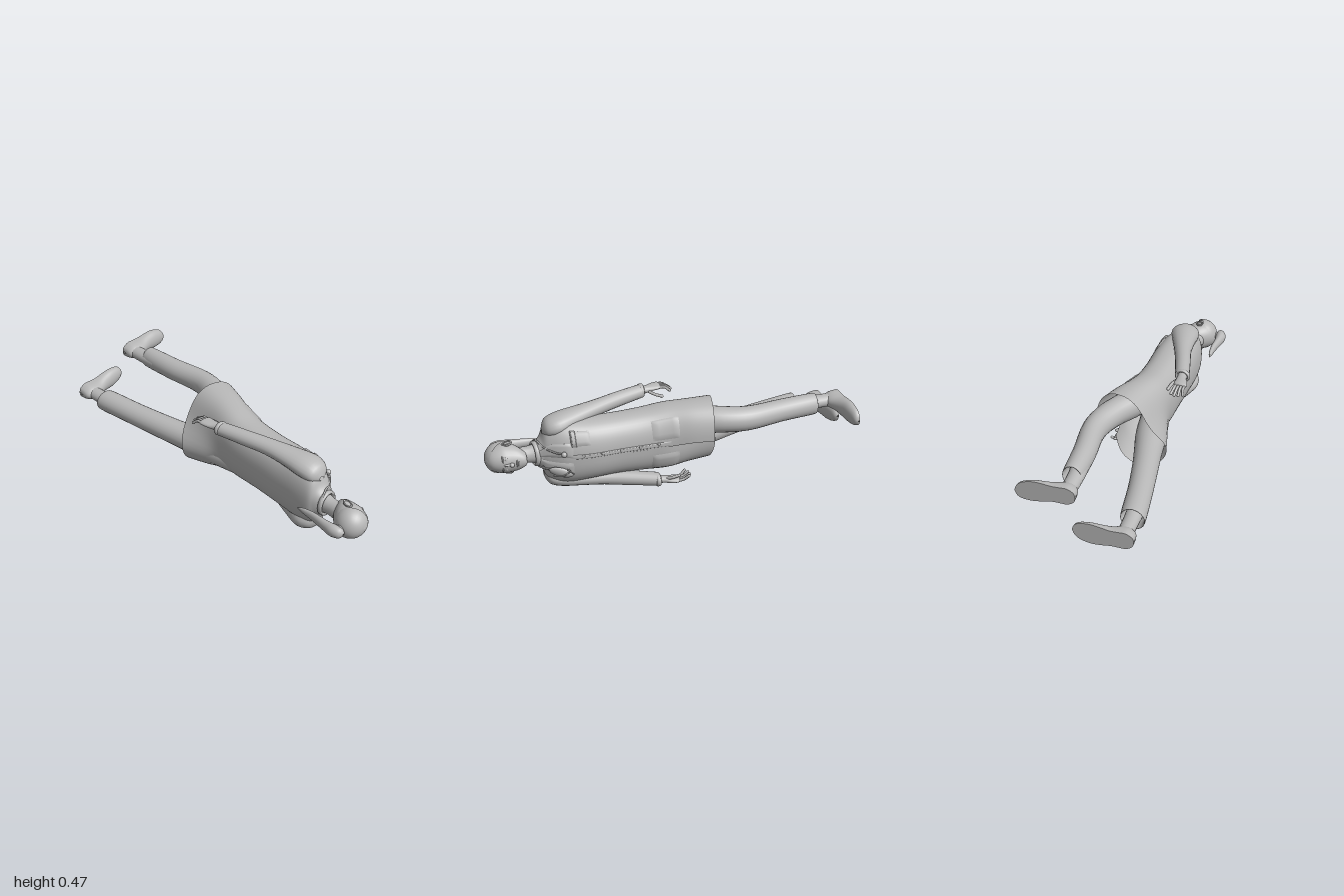
import * as THREE from 'three';

const CY = 0.235; // body's mid plane

export function createModel() {
  const model = new THREE.Group();
  model.name = 'recliningFigure';
  const grey = new THREE.MeshStandardMaterial({ color: 0xb8b8b8, side: THREE.DoubleSide });
  grey.name = 'plain grey';

  const add = (name, geo, pos = [0, 0, 0], scale = [1, 1, 1], rot = [0, 0, 0], parent = model) => {
    const m = new THREE.Mesh(geo, grey);
    m.name = name;
    m.position.set(...pos);
    m.scale.set(...scale);
    m.rotation.set(...rot);
    parent.add(m);
    return m;
  };

  // Surface from a rule fn(u, v) -> [x, y, z]; wrap joins the v direction
  const grid = (nu, nv, fn, wrap = false) => {
    const pos = [], idx = [], cols = wrap ? nv : nv + 1;
    for (let i = 0; i <= nu; i++)
      for (let j = 0; j < cols; j++) pos.push(...fn(i / nu, j / nv));
    for (let i = 0; i < nu; i++)
      for (let j = 0; j < nv; j++) {
        const k = (j + 1) % cols, a = i * cols, b = a + cols;
        idx.push(a + j, b + j, a + k, a + k, b + j, b + k);
      }
    const g = new THREE.BufferGeometry();
    g.setAttribute('position', new THREE.Float32BufferAttribute(pos, 3));
    g.setIndex(idx);
    g.computeVertexNormals();
    return g;
  };

  // Smooth blend through a list of section rows, u from 0 to 1
  const at = (rows, u) => {
    const n = rows.length - 1, s = Math.min(u * n, n - 1e-6), i = Math.floor(s), t = s - i;
    const p = k => rows[Math.max(0, Math.min(n, k))];
    return rows[0].map((_, c) => {
      const a = p(i - 1)[c], b = p(i)[c], d = p(i + 1)[c], e = p(i + 2)[c];
      return b + 0.5 * t * (d - a + t * (2 * a - 5 * b + 4 * d - e + t * (3 * (b - d) + e - a)));
    });
  };

  // Limb from rows of [z, centre x, centre y, radius x, radius y]
  const limb = (name, rows, sides = 20) => add(name, grid((rows.length - 1) * 4, sides, (u, v) => {
    const [z, x, y, rx, ry] = at(rows, u), t = v * Math.PI * 2;
    return [x + rx * Math.cos(t), y + ry * Math.sin(t), z];
  }, true));

  const tube = (name, pts, r, parent = model) =>
    add(name, new THREE.TubeGeometry(new THREE.CatmullRomCurve3(pts.map(p => new THREE.Vector3(...p))), 16, r, 6), undefined, undefined, undefined, parent);
  const ball = new THREE.SphereGeometry(1, 20, 14);

  // Long coat: [z, cx, cy, rx, ry, stride shift, front gap]
  const coat = [
    [0.73, -0.04, CY, 0.05, 0.058, 0, 0],
    [0.7, -0.043, CY, 0.065, 0.09, 0, 0],
    [0.665, -0.04, CY, 0.085, 0.155, 0, 0],
    [0.58, -0.025, CY, 0.112, 0.178, 0, 0],
    [0.45, -0.018, CY, 0.124, 0.172, 0, 0],
    [0.3, -0.018, CY, 0.122, 0.168, 0, 0],
    [0.15, -0.015, CY, 0.124, 0.175, 0, 0],
    [0.03, -0.008, 0.24, 0.128, 0.187, 0.005, 0],
    [-0.1, -0.012, 0.242, 0.135, 0.198, 0.04, 0.07],
    [-0.225, -0.015, 0.243, 0.145, 0.205, 0.065, 0.1]];
  const coatPoint = (u, t, off = 0) => {
    let [z, cx, cy, rx, ry, shift, gap] = at(coat, u);
    t = gap + t * (1 - gap / Math.PI);
    const c = Math.cos(t), s = Math.sin(t);
    const dy = Math.sign(s) * Math.abs(s) ** 0.87 * (ry + off);
    const front = Math.max(0, Math.min(1, 0.5 + c));
    const side = (1 - front) * Math.tanh(dy / 0.09) + front * (t < Math.PI ? 1 : -1);
    const x = cx + Math.sign(c) * Math.abs(c) ** 0.87 * (rx + off) + shift * side;
    return [x, cy + dy, z + 0.2 * side * x * Math.min(1, shift / 0.065)];
  };
  const uOf = z => {
    const i = Math.max(1, coat.findIndex(r => r[0] <= z));
    return (i - 1 + (coat[i - 1][0] - z) / (coat[i - 1][0] - coat[i][0])) / (coat.length - 1);
  };
  add('coat', grid(45, 48, (u, v) => coatPoint(u, v * Math.PI * 2)));

  // Raised cloth panels that follow the coat
  const panel = (name, z0, z1, t0, t1, off = 0.006) => {
    add(name, grid(8, 8, (u, v) => {
      const edge = u === 0 || u === 1 || v === 0 || v === 1;
      return coatPoint(uOf(z0 + (z1 - z0) * u), t0 + (t1 - t0) * v, edge ? 0 : off);
    }));
  };
  panel('chestPocket', 0.56, 0.46, 0.4, 0.95);
  panel('chestPocketFlap', 0.56, 0.53, 0.37, 0.98, 0.012);
  const T = Math.PI * 2;
  panel('leftHipPocket', 0.13, -0.02, 0.2, 0.9);
  panel('rightHipPocket', 0.13, -0.02, T - 0.9, T - 0.2);
  panel('frontPlacket', 0.6, 0.03, 0.02, 0.13, 0.004);
  panel('leftLapel', 0.72, 0.55, 0.06, 0.5);
  panel('rightLapel', 0.72, 0.55, T - 0.5, T - 0.06);
  for (let i = 0; i < 5; i++)
    add('button', ball, coatPoint(uOf(0.5 - i * 0.1), 0.1, 0.004), [0.005, 0.008, 0.008]);
  add('collar', new THREE.TorusGeometry(0.055, 0.009, 8, 28), [-0.04, CY, 0.73], [1, 1.1, 1.6], [0, 0.12, 0]);

  // Head and neck
  limb('neck', [[0.84, -0.045, CY, 0.045, 0.048], [0.77, -0.043, CY, 0.041, 0.045], [0.7, -0.043, CY, 0.05, 0.06]]);
  limb('head', [
    [0.996, -0.05, CY, 0.002, 0.002], [0.988, -0.05, CY, 0.032, 0.03], [0.96, -0.05, CY, 0.064, 0.06],
    [0.91, -0.051, CY, 0.084, 0.079], [0.87, -0.046, CY, 0.082, 0.077], [0.83, -0.03, CY, 0.066, 0.065],
    [0.8, -0.012, CY, 0.046, 0.045], [0.785, -0.008, CY, 0.032, 0.03], [0.782, -0.008, CY, 0.002, 0.002]], 28);
  add('hairCap', new THREE.SphereGeometry(0.086, 28, 12, 0, T, 0, Math.PI / 2), [-0.054, CY, 0.91], [1, 1, 0.98], [Math.PI / 2, 0.75, 0, 'YXZ'])
    .quaternion.setFromUnitVectors(new THREE.Vector3(0, 1, 0), new THREE.Vector3(-0.8, 0, 0.6).normalize());
  limb('ponytail', [
    [0.955, -0.155, CY, 0.004, 0.004], [0.94, -0.16, CY, 0.024, 0.026], [0.9, -0.168, CY, 0.03, 0.034],
    [0.85, -0.17, CY, 0.023, 0.03], [0.76, -0.165, CY, 0.016, 0.024], [0.7, -0.168, CY, 0.011, 0.016], [0.66, -0.172, CY, 0.002, 0.003]]);
  add('hairTie', ball, [-0.135, CY, 0.915], [0.025, 0.022, 0.022]);
  add('nose', ball, [0.036, CY, 0.867], [0.016, 0.012, 0.013]);
  add('noseBridge', ball, [0.03, CY, 0.885], [0.011, 0.008, 0.026]);
  add('upperLip', ball, [0.032, CY, 0.839], [0.007, 0.022, 0.005]);
  add('lowerLip', ball, [0.031, CY, 0.831], [0.007, 0.018, 0.005]);
  for (const s of [1, -1]) {
    add('eye', ball, [0.024, CY + s * 0.031, 0.893], [0.006, 0.014, 0.008], [0, 0, s * 0.4]);
    add('brow', ball, [0.024, CY + s * 0.033, 0.912], [0.006, 0.019, 0.004], [0, 0, s * 0.45]);
    add('ear', ball, [-0.045, CY + s * 0.08, 0.872], [0.017, 0.009, 0.027], [s * 0.25, 0, 0]);
    add('earRim', new THREE.TorusGeometry(0.018, 0.004, 6, 18), [-0.047, CY + s * 0.087, 0.875], [0.85, 1.3, 1], [Math.PI / 2 + s * 0.2, 0, 0]);
  }

  // Arms with cuffs and open hands; s = 1 is the upper arm
  const arms = [[1, [-0.04, -0.04, -0.042, -0.065, -0.098, -0.14, -0.185]], [-1, [-0.045, -0.045, -0.045, -0.025, 0.005, 0.052, 0.108]]];
  const armShape = [[0.69, 0.13, 0.012, 0.012], [0.665, 0.145, 0.06, 0.045], [0.6, 0.158, 0.08, 0.055],
    [0.5, 0.172, 0.066, 0.048], [0.38, 0.183, 0.05, 0.042], [0.25, 0.189, 0.044, 0.04], [0.1, 0.193, 0.04, 0.036]];
  for (const [s, xs] of arms) {
    const x = xs[6], y = CY + s * 0.195;
    limb('sleeve', armShape.map(([z, d, rx, ry], i) => [z, xs[i], CY + s * d, rx, ry]));
    add('cuff', new THREE.TorusGeometry(0.034, 0.008, 8, 24), [x, y, 0.105], [1, 0.9, 1.6]);
    const f = -s; // the hand drifts outward along x
    limb('palm', [[0.13, x, y, 0.026, 0.024], [0.08, x + f * 0.004, y, 0.025, 0.02],
      [0.04, x + f * 0.014, y + s * 0.003, 0.033, 0.016], [0.0, x + f * 0.02, y + s * 0.004, 0.034, 0.013], [-0.008, x + f * 0.02, y, 0.003, 0.003]]);
    for (let i = 0; i < 4; i++) {
      const fx = x + f * 0.02 + (i - 1.5) * 0.016, len = [0.05, 0.062, 0.065, 0.055][i];
      const tip = [fx + (i - 1.5) * 0.005, y - s * 0.02, -len];
      tube('finger', [[fx, y + s * 0.003, 0.01], [fx, y, -len * 0.5], tip], 0.0078);
      add('fingertip', ball, tip, [0.0078, 0.0078, 0.0078]);
    }
    const thumb = [x + 0.045, y - s * 0.03, 0.0];
    tube('thumb', [[x + 0.015, y - s * 0.005, 0.065], [x + 0.036, y - s * 0.018, 0.035], thumb], 0.009);
    add('thumbTip', ball, thumb, [0.009, 0.009, 0.009]);
  }

  // Trousers, open at the hem with a turned-in lip
  const hem = ([z, x, y, rx, ry]) => [[z - 0.001, x, y, rx - 0.008, ry - 0.008], [z + 0.06, x, y, rx - 0.01, ry - 0.01]];
  const legs = {
    leftTrouserLeg: [[0.1, 0, 0.33, 0.08, 0.08], [-0.1, 0.03, 0.335, 0.085, 0.078], [-0.25, 0.092, 0.338, 0.076, 0.071],
      [-0.4, 0.122, 0.335, 0.064, 0.066], [-0.6, 0.094, 0.333, 0.06, 0.061], [-0.79, 0.077, 0.331, 0.054, 0.06]],
    rightTrouserLeg: [[0.1, -0.04, 0.15, 0.08, 0.08], [-0.1, -0.08, 0.15, 0.085, 0.078], [-0.25, -0.115, 0.15, 0.076, 0.071],
      [-0.4, -0.152, 0.155, 0.07, 0.066], [-0.6, -0.197, 0.162, 0.066, 0.061], [-0.805, -0.235, 0.166, 0.065, 0.06]]
  };
  for (const [name, rows] of Object.entries(legs)) limb(name, [...rows, ...hem(rows.at(-1))], 24);
  limb('leftAnkle', [[-0.72, 0.07, 0.331, 0.045, 0.042], [-0.8, 0.06, 0.33, 0.042, 0.036], [-0.9, 0.055, 0.327, 0.04, 0.034]]);
  limb('rightAnkle', [[-0.74, -0.23, 0.166, 0.045, 0.042], [-0.83, -0.235, 0.164, 0.041, 0.034], [-0.93, -0.24, 0.163, 0.04, 0.034]]);

  // Shoes: [distance from heel, half width, height, sideways drift]
  const last = [[0, 0.004, 0.03, 0], [0.008, 0.027, 0.065, 0], [0.04, 0.045, 0.088, 0], [0.08, 0.045, 0.088, 0], [0.12, 0.045, 0.07, 0],
    [0.17, 0.053, 0.054, -0.002], [0.22, 0.056, 0.046, -0.005], [0.27, 0.046, 0.036, -0.01], [0.295, 0.027, 0.026, -0.013], [0.305, 0.003, 0.012, -0.014]];
  const shoe = (name, pos, s) => {
    const g = new THREE.Group();
    g.name = name;
    g.position.set(...pos);
    g.rotation.y = 0.05;
    model.add(g);
    add('shoeUpper', grid(36, 16, (u, v) => {
      const [x, w, h, d] = at(last, u), t = v * Math.PI;
      return [x, s * d + w * Math.cos(t), h * Math.sin(t) ** 0.8];
    }), undefined, undefined, undefined, g);
    add('shoeSole', grid(36, 1, (u, v) => {
      const [x, w, , d] = at(last, u);
      return [x, s * d + w * (1 - 2 * v), 0];
    }), undefined, undefined, undefined, g);
  };
  shoe('leftShoe', [0.0, 0.327, -0.955], 1);
  shoe('rightShoe', [-0.303, 0.163, -0.984], -1);

  // Neck cord with a bead, and a clipped oval badge
  tube('neckCord', [[-0.09, 0.27, 0.74], [-0.05, 0.31, 0.725], [0.02, 0.295, 0.69], [0.075, 0.285, 0.64], [0.1, 0.283, 0.6]], 0.005);
  tube('neckCord', [[-0.09, 0.2, 0.74], [-0.05, 0.165, 0.725], [0.02, 0.175, 0.7], [0.075, 0.19, 0.66]], 0.005);
  add('bead', ball, [0.1, 0.283, 0.605], [0.015, 0.015, 0.015]);
  add('badge', ball, [0.083, 0.17, 0.622], [0.016, 0.03, 0.065], [-0.25, -0.35, -0.35]);
  tube('badgeLoop', [[0.07, 0.15, 0.66], [0.1, 0.155, 0.62], [0.115, 0.19, 0.58], [0.118, 0.205, 0.6], [0.122, 0.17, 0.56]], 0.004);
  return model;
}
